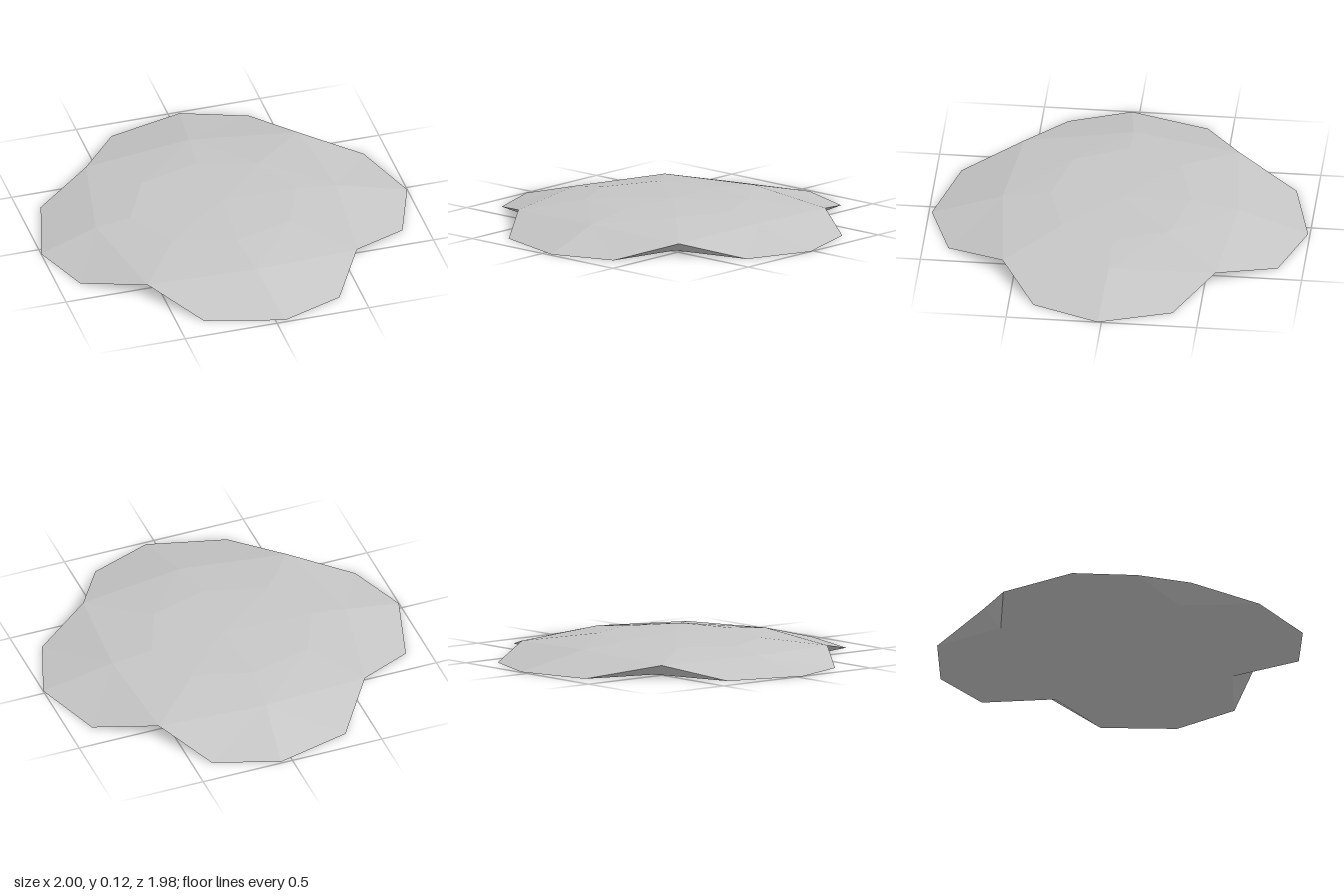
import * as THREE from 'three';

// Flat, low-poly stone slab: four shallow lobes with raised undercut corners.
const V = (x, y, z) => new THREE.Vector3(x, y, z);

// Rim points per side (front, left, back, right), anticlockwise from above
const rim = [
  [V(-0.36, 0, 0.87), V(0.05, 0, 0.985), V(0.38, 0, 0.865)],
  [V(0.87, 0, 0.37), V(1, 0, 0.02), V(0.875, 0, -0.36)],
  [V(0.40, 0, -0.865), V(0.06, 0, -0.99), V(-0.34, 0, -0.89)],
  [V(-0.88, 0, -0.37), V(-1, 0, 0.04), V(-0.88, 0, 0.36)],
];
// Raised corner starting each side, and the undercut point below it
const corner = [V(-0.575, 0.066, 0.562), V(0.565, 0.066, 0.562), V(0.575, 0.066, -0.555), V(-0.575, 0.066, -0.565)];
const undercut = [V(-0.46, 0, 0.46), V(0.46, 0, 0.48), V(0.47, 0, -0.487), V(-0.455, 0, -0.51)];
// Middle of each shoulder edge
const shoulder = [V(0, 0.09, 0.62), V(0.62, 0.09, 0), V(0, 0.09, -0.62), V(-0.69, 0.08, 0)];
// Crown ring: corner and middle of each side, around the peak
const crownCorner = [V(-0.36, 0.11, 0.28), V(0.28, 0.115, 0.28), V(0.28, 0.115, -0.28), V(-0.36, 0.11, -0.28)];
const crownMid = [V(-0.03, 0.115, 0.37), V(0.4, 0.113, 0), V(-0.03, 0.115, -0.37), V(-0.5, 0.105, 0)];
const peak = V(0, 0.125, 0);

function facets(name, triangles, material) {
  const geometry = new THREE.BufferGeometry().setFromPoints(triangles.flat());
  geometry.computeVertexNormals();
  const mesh = new THREE.Mesh(geometry, material);
  mesh.name = name;
  return mesh;
}

export function createModel() {
  const stone = new THREE.MeshStandardMaterial({ color: 0xc6c6c6, flatShading: true });
  stone.name = 'light grey stone';
  const lobes = [], crown = [], base = [], notches = [];
  const floor = V(0, 0, 0);

  for (let i = 0; i < 4; i++) {
    const j = (i + 1) % 4;
    const [a, m, b] = rim[i];
    const c = corner[i], d = corner[j], s = shoulder[i];
    const p = crownCorner[i], q = crownCorner[j], t = crownMid[i];
    // Sloping lobe between two corners
    lobes.push([c, a, s], [a, m, s], [m, b, s], [b, d, s]);
    // Gentle shoulder and top
    crown.push([c, s, p], [s, t, p], [s, q, t], [s, d, q], [p, t, peak], [t, q, peak]);
    // Flat underside
    const edge = [undercut[i], a, m, b, undercut[j]];
    for (let k = 0; k < 4; k++) base.push([edge[k + 1], edge[k], floor]);
    // Undercut below the corner at the end of this side
    notches.push([d, b, undercut[j]], [rim[j][0], d, undercut[j]]);
  }

  const group = new THREE.Group();
  group.name = 'stoneSlab';
  group.add(
    facets('slopingLobes', lobes, stone),
    facets('crown', crown, stone),
    facets('underside', base, stone),
    facets('cornerUndercuts', notches, stone),
  );
  return group;
}
